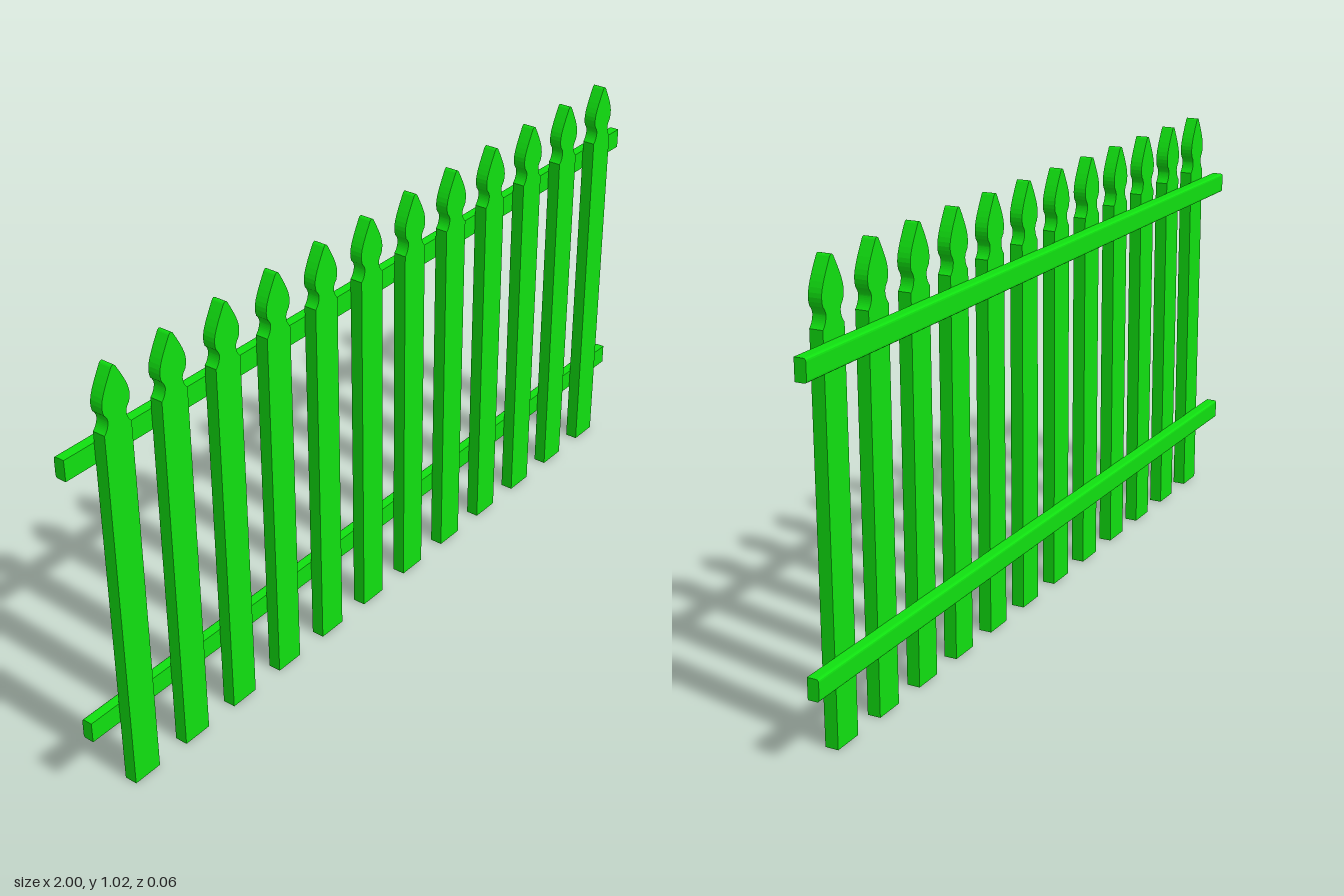
import * as THREE from 'three';

const green = new THREE.MeshStandardMaterial({ color: 0x10e010 });

// Half outline of a picket from foot to tip; mirrored for the other side
function picketShape() {
  const w = 0.037;
  const s = new THREE.Shape();
  s.moveTo(-w, 0);
  s.lineTo(w, 0);
  s.lineTo(w, 0.882);
  s.quadraticCurveTo(0.026, 0.892, 0.025, 0.908); // shoulder into the neck
  s.quadraticCurveTo(0.025, 0.917, 0.034, 0.926); // underside of the head
  s.bezierCurveTo(0.043, 0.95, 0.034, 0.97, 0.006, 1.019);
  s.quadraticCurveTo(0, 1.027, -0.006, 1.019); // blunt tip
  s.bezierCurveTo(-0.034, 0.97, -0.043, 0.95, -0.034, 0.926);
  s.quadraticCurveTo(-0.025, 0.917, -0.025, 0.908);
  s.quadraticCurveTo(-0.026, 0.892, -w, 0.882);
  s.closePath();
  return s;
}

// Rail cross-section (x = depth, y = height) with eased outer edges
function railShape() {
  const d = 0.027, h = 0.0245, r = 0.006;
  const s = new THREE.Shape();
  s.moveTo(0, -h);
  s.lineTo(d - r, -h);
  s.quadraticCurveTo(d, -h, d, -h + r);
  s.lineTo(d, h - r);
  s.quadraticCurveTo(d, h, d - r, h);
  s.lineTo(0, h);
  s.closePath();
  return s;
}

export function createModel() {
  const fence = new THREE.Group();
  fence.name = 'picketFence';

  // Twelve evenly spaced pickets in front of the rails
  const picketGeo = new THREE.ExtrudeGeometry(picketShape(), {
    depth: 0.031, bevelEnabled: false, curveSegments: 8,
  });
  const count = 12;
  for (let i = 0; i < count; i++) {
    const picket = new THREE.Mesh(picketGeo, green);
    picket.name = `picket${i + 1}`;
    picket.position.set(-0.882 + (i * 1.747) / (count - 1), 0, -0.002);
    fence.add(picket);
  }

  // Two horizontal rails, turned so the section's depth points to the back
  const railGeo = new THREE.ExtrudeGeometry(railShape(), {
    depth: 2, bevelEnabled: false, curveSegments: 3,
  });
  railGeo.translate(0, 0, -1).rotateY(Math.PI / 2);
  for (const [name, y] of [['lowerRail', 0.181], ['upperRail', 0.832]]) {
    const rail = new THREE.Mesh(railGeo, green);
    rail.name = name;
    rail.position.set(0, y, -0.002);
    fence.add(rail);
  }
  return fence;
}
